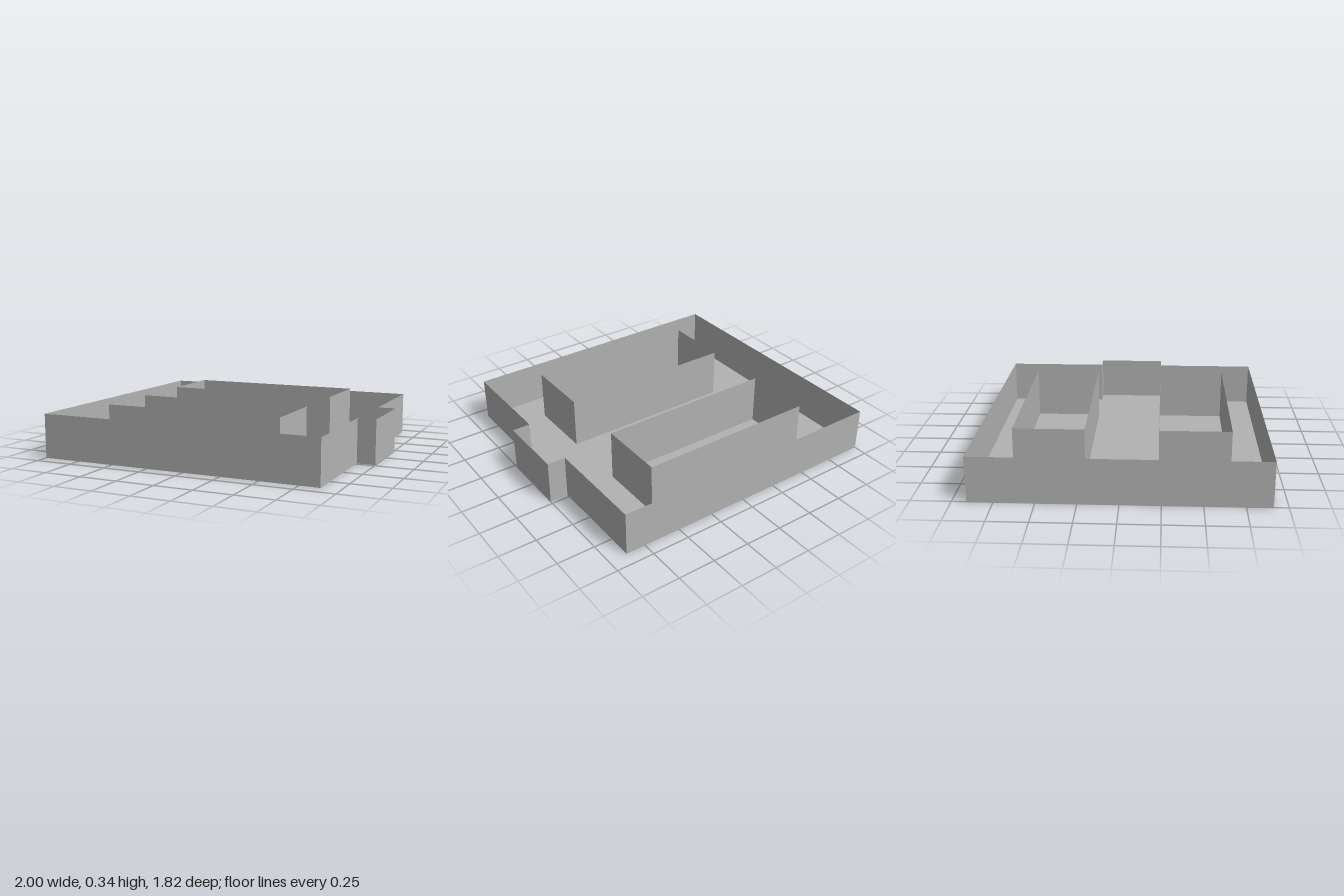
import * as THREE from 'three';

const WALL_H = 0.29, BOX_H = 0.34;

const grey = new THREE.MeshStandardMaterial({ color: 0xb2b2b2, side: THREE.DoubleSide });
grey.name = 'plain grey';

// Closed ring of thin upright walls over an outline of [x, z] points,
// listed so that the front of each wall faces outwards.
function wallRing(name, outline, height) {
  const positions = [];
  outline.forEach(([x0, z0], i) => {
    const [x1, z1] = outline[(i + 1) % outline.length];
    positions.push(
      x0, 0, z0, x1, 0, z1, x1, height, z1,
      x0, 0, z0, x1, height, z1, x0, height, z0
    );
  });
  const geometry = new THREE.BufferGeometry();
  geometry.setAttribute('position', new THREE.Float32BufferAttribute(positions, 3));
  geometry.computeVertexNormals();
  const mesh = new THREE.Mesh(geometry, grey);
  mesh.name = name;
  return mesh;
}

// Flat floor filling an outline
function floorPlate(name, outline) {
  const shape = new THREE.Shape(outline.map(([x, z]) => new THREE.Vector2(x, -z)));
  const geometry = new THREE.ShapeGeometry(shape).rotateX(-Math.PI / 2);
  const mesh = new THREE.Mesh(geometry, grey);
  mesh.name = name;
  return mesh;
}

export function createModel() {
  const model = new THREE.Group();
  model.name = 'walledTray';

  // Main outline with the alcove on the +x side
  const room = [
    [-1, 0.91], [0.88, 0.91], [0.88, 0.23], [1, 0.23],
    [1, -0.23], [0.88, -0.23], [0.88, -0.91], [-1, -0.91],
  ];
  model.add(floorPlate('floor', room), wallRing('outerWalls', room, WALL_H));

  // Two long open-topped enclosures
  for (const [name, zFront, zBack] of [['frontEnclosure', 0.68, 0.23], ['backEnclosure', -0.23, -0.68]]) {
    const box = [[-0.66, zFront], [0.54, zFront], [0.54, zBack], [-0.66, zBack]];
    model.add(wallRing(name, box, BOX_H));
  }
  return model;
}
